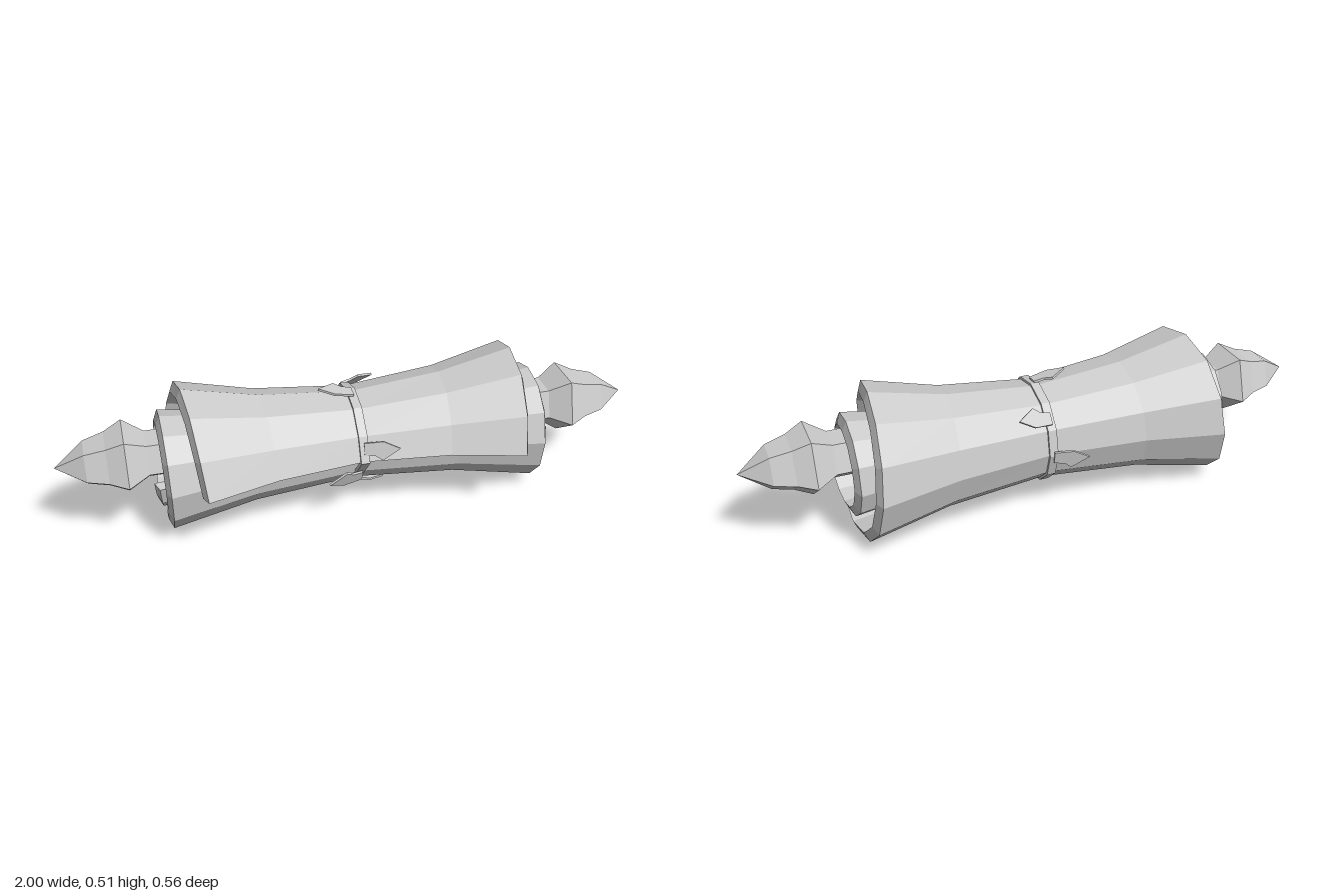
import * as THREE from 'three';

const CY = 0.25, CZ = -0.025; // axis of the roll
const WAIST = 0.65;

// Spiral of the rolled sheet at its ends, as [z, y] every 30 degrees, outside to inside
const SPIRAL = [
  [0.28, 0.26], [0.225, 0.38], [0.118, 0.48], [-0.025, 0.508], [-0.16, 0.465], [-0.25, 0.36],
  [-0.278, 0.232], [-0.24, 0.11], [-0.145, 0.025], [-0.025, 0.002], [0.088, 0.04], [0.163, 0.125],
  [0.183, 0.23], [0.148, 0.334], [0.075, 0.4], [-0.025, 0.418], [-0.112, 0.392], [-0.168, 0.325],
  [-0.188, 0.232], [-0.163, 0.155], [-0.1, 0.105], [-0.025, 0.09], [0.045, 0.107], [0.095, 0.155], [0.112, 0.22],
];

const material = new THREE.MeshStandardMaterial({ color: 0xcccccc, flatShading: true });

function part(geometry, name) {
  const mesh = new THREE.Mesh(geometry, material);
  mesh.name = name;
  return mesh;
}

// Half width of the sheet, growing towards the inner end
function halfWidth(i) {
  if (i <= 9) return 0.535 + 0.105 * i / 9;
  if (i <= 18) return 0.64 + 0.01 * (i - 9) / 9;
  return 0.65 + 0.025 * (i - 18) / 6;
}

// Thick sheet: one closed loop of 10 points per spiral step, narrow at the waist
function sheetGeometry() {
  const stations = [[-1, 1], [-0.55, 0.77], [0, WAIST], [0.55, 0.77], [1, 1]];
  const positions = [], index = [];
  const thickness = 0.034, n = stations.length * 2;
  SPIRAL.forEach(([z, y], i) => {
    const dz = z - CZ, dy = y - CY, r = Math.hypot(dz, dy);
    const add = ([f, s], inset, flare) => {
      const k = s * (r - inset) / r;
      positions.push(f * (halfWidth(i) + flare), CY + dy * k, CZ + dz * k);
    };
    stations.forEach((st) => add(st, 0, 0));
    [...stations].reverse().forEach((st) => add(st, thickness, 0.015));
  });
  const quad = (a, b, c, d) => index.push(a, b, c, a, c, d);
  const last = (SPIRAL.length - 1) * n;
  for (let a = 0; a < last; a += n) {
    for (let k = 0; k < n; k++) {
      const m = (k + 1) % n;
      quad(a + k, a + m, a + n + m, a + n + k);
    }
  }
  for (let k = 0; k < n / 2 - 1; k++) {
    quad(k, n - 1 - k, n - 2 - k, k + 1);
    quad(last + k, last + k + 1, last + n - 2 - k, last + n - 1 - k);
  }
  const g = new THREE.BufferGeometry();
  g.setAttribute('position', new THREE.Float32BufferAttribute(positions, 3));
  g.setIndex(index);
  g.computeVertexNormals();
  return g;
}

// Tie around the waist, following the outer turn of the sheet
function bandGeometry() {
  const outline = (s) => SPIRAL.slice(0, 12).map(([z, y]) =>
    new THREE.Vector2(-(CZ + (z - CZ) * s), CY + (y - CY) * s));
  const shape = new THREE.Shape(outline(WAIST * 1.06));
  shape.holes.push(new THREE.Path(outline(WAIST * 0.97)));
  const g = new THREE.ExtrudeGeometry(shape, { depth: 0.03, bevelEnabled: false });
  return g.translate(0, 0, -0.015).rotateY(Math.PI / 2);
}

// Pointed leaf, tip lifted off the sheet
function leafGeometry(direction) {
  const shape = new THREE.Shape([[0, -0.012], [0.035, -0.016], [0.06, -0.034], [0.12, 0.004],
    [0.065, 0.032], [0, 0.03]].map(([x, y]) => new THREE.Vector2(x, y)));
  const g = new THREE.ExtrudeGeometry(shape, { depth: 0.008, bevelEnabled: false });
  g.rotateY(-0.2);
  return direction < 0 ? g.rotateZ(Math.PI) : g;
}

export function createModel() {
  const model = new THREE.Group();
  model.name = 'scroll';
  model.add(part(sheetGeometry(), 'rolledSheet'));

  // Five-sided rod with a pointed finial at each end
  const half = [[0.083, 0.7], [0.13, 0.77], [0.098, 0.83], [0.078, 0.9], [0, 1]];
  const profile = [...half.map(([r, x]) => [r, -x]).reverse(), ...half]
    .map(([r, x]) => new THREE.Vector2(r, x));
  const rod = part(new THREE.LatheGeometry(profile, 5, Math.PI / 2).rotateZ(-Math.PI / 2), 'rodWithFinials');
  rod.position.y = 0.288;
  model.add(rod);

  model.add(part(bandGeometry(), 'band'));

  // Leaves around the band: angle from the front upwards, direction along x, distance from axis
  const leaves = [[13, 1, 0.195], [-22, -1, 0.17], [85, -1, 0.175], [138, 1, 0.175], [188, -1, 0.172], [272, 1, 0.168]];
  for (const [angle, direction, r] of leaves) {
    const pivot = new THREE.Group();
    pivot.name = 'leaf';
    pivot.position.set(0, CY, CZ);
    pivot.rotation.x = -THREE.MathUtils.degToRad(angle);
    const leaf = part(leafGeometry(direction), 'leafBlade');
    leaf.position.z = r;
    pivot.add(leaf);
    model.add(pivot);
  }
  return model;
}
